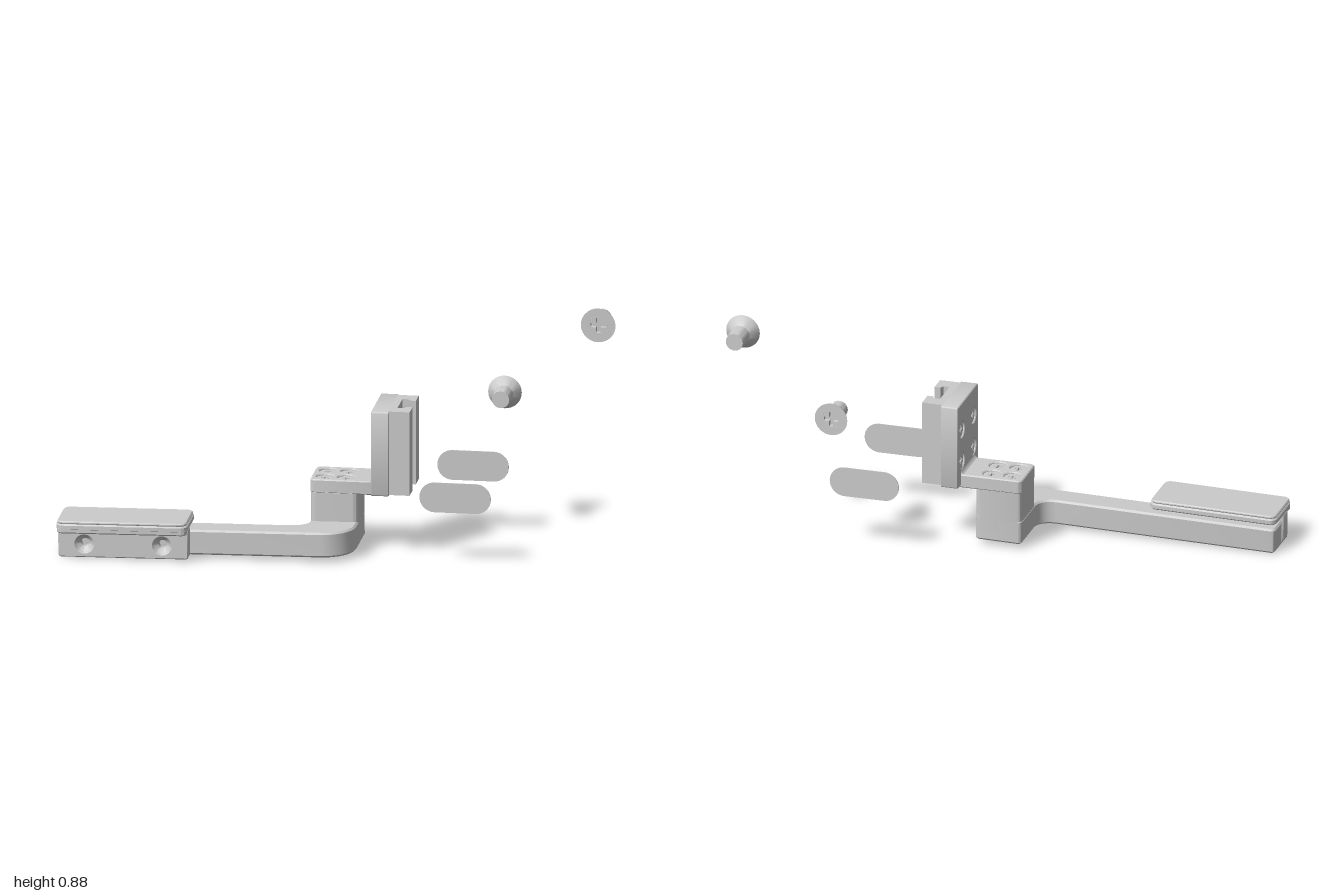
import * as THREE from 'three';
import { toCreasedNormals } from 'three/addons/utils/BufferGeometryUtils.js';

const grey = new THREE.MeshStandardMaterial({ color: 0xcccccc, side: THREE.DoubleSide });

function add(parent, name, geometry, crease = 0.5) {
  const mesh = new THREE.Mesh(toCreasedNormals(geometry, crease), grey);
  mesh.name = name;
  parent.add(mesh);
  return mesh;
}

// Rectangle with rounded corners
function roundRect(x0, y0, x1, y1, r) {
  const s = new THREE.Shape();
  s.absarc(x1 - r, y0 + r, r, -Math.PI / 2, 0);
  s.absarc(x1 - r, y1 - r, r, 0, Math.PI / 2);
  s.absarc(x0 + r, y1 - r, r, Math.PI / 2, Math.PI);
  s.absarc(x0 + r, y0 + r, r, Math.PI, Math.PI * 1.5);
  s.closePath();
  return s;
}

function polygon(points) {
  return new THREE.Shape(points.map(([x, y]) => new THREE.Vector2(x, y)));
}

function hole(shape, x, y, r) {
  shape.holes.push(new THREE.Path().absarc(x, y, r, 0, Math.PI * 2, true));
}

// Chamfered slab between two heights along an axis.
// Shape coordinates: y axis -> (x, -z), x axis -> (-z, y), z axis -> (x, y)
function slab(shape, from, to, bevel = 0, axis = 'y') {
  const g = new THREE.ExtrudeGeometry(shape, {
    depth: to - from - 2 * bevel, curveSegments: 10, bevelEnabled: bevel > 0,
    bevelSize: bevel, bevelThickness: bevel, bevelOffset: -bevel, bevelSegments: 1,
  });
  g.translate(0, 0, from + bevel);
  if (axis === 'y') g.rotateX(-Math.PI / 2);
  if (axis === 'x') g.rotateY(Math.PI / 2);
  return g;
}

// Countersunk cross-head screw, head face at y = 0 looking up
function makeScrew(name, scale = 1) {
  const screw = new THREE.Group();
  screw.name = name;
  const profile = [[0, -0.11], [0.033, -0.11], [0.037, -0.037], [0.062, -0.008], [0.065, 0], [0.036, 0]];
  add(screw, 'screwBody', new THREE.LatheGeometry(profile.map(p => new THREE.Vector2(...p)), 28));
  const ring = new THREE.Shape().absarc(0, 0, 0.036, 0, Math.PI * 2);
  const a = 0.008, b = 0.029;
  ring.holes.push(new THREE.Path([
    [a, a], [a, b], [-a, b], [-a, a], [-b, a], [-b, -a],
    [-a, -a], [-a, -b], [a, -b], [a, -a], [b, -a], [b, a],
  ].map(p => new THREE.Vector2(...p))));
  add(screw, 'crossRecess', slab(ring, -0.02, 0));
  add(screw, 'recessFloor', new THREE.CircleGeometry(0.034, 20).rotateX(-Math.PI / 2).translate(0, -0.02, 0));
  screw.scale.setScalar(scale);
  return screw;
}

export function createModel() {
  const model = new THREE.Group();
  model.name = 'bracketAssembly';

  // Slightly sloping arm with its clamp and top plate
  const armGroup = new THREE.Group();
  armGroup.name = 'armAssembly';
  armGroup.rotation.z = 0.018;
  armGroup.position.y = 0.018;
  model.add(armGroup);

  const arm = new THREE.Shape();
  arm.moveTo(-0.98, -0.25);
  arm.lineTo(-0.03, -0.25);
  arm.bezierCurveTo(0.036, -0.25, 0.09, -0.196, 0.09, -0.13);
  arm.lineTo(0.09, 0.067);
  arm.quadraticCurveTo(0.09, 0.087, 0.07, 0.087);
  arm.lineTo(-0.07, 0.087);
  arm.quadraticCurveTo(-0.09, 0.087, -0.09, 0.067);
  arm.lineTo(-0.09, -0.075);
  arm.quadraticCurveTo(-0.09, -0.145, -0.16, -0.145);
  arm.lineTo(-0.98, -0.145);
  arm.quadraticCurveTo(-0.998, -0.145, -0.998, -0.165);
  arm.lineTo(-0.998, -0.23);
  arm.quadraticCurveTo(-0.998, -0.25, -0.98, -0.25);
  add(armGroup, 'arm', slab(arm, 0.004, 0.099, 0.007));

  // Front clamp plate with conical screw seats
  const clamp = roundRect(-0.998, 0.002, -0.512, 0.118, 0.012);
  const seats = [-0.9, -0.61];
  seats.forEach(x => hole(clamp, x, 0.053, 0.033));
  add(armGroup, 'clampPlate', slab(clamp, 0.258, 0.312, 0.004, 'z'));
  for (const x of seats) {
    const cone = [[0.016, 0], [0.016, 0.025], [0.035, 0.045]].map(p => new THREE.Vector2(...p));
    add(armGroup, 'screwSeat', new THREE.LatheGeometry(cone, 24).rotateX(Math.PI / 2).translate(x, 0.053, 0.26));
  }

  // Layered top plate with a lip hanging over the front
  add(armGroup, 'topPlate', slab(roundRect(-1, -0.356, -0.51, -0.146, 0.028), 0.115, 0.139, 0.005));
  add(armGroup, 'topPad', slab(roundRect(-0.997, -0.352, -0.513, -0.15, 0.026), 0.138, 0.15, 0.004));
  add(armGroup, 'plateLip', slab(roundRect(-0.997, -0.355, -0.513, -0.308, 0.02), 0.103, 0.125, 0.005));

  // Column rising from the end of the arm
  add(model, 'column', slab(roundRect(-0.09, -0.09, 0.088, 0.087, 0.02), 0.06, 0.226));

  // Bracket foot with four countersunk screws
  const foot = roundRect(-0.092, -0.088, 0.2, 0.09, 0.018);
  const footScrews = [];
  for (const x of [-0.043, 0.037]) for (const z of [-0.042, 0.038]) footScrews.push([x, z]);
  footScrews.forEach(([x, z]) => hole(foot, x, -z, 0.032));
  add(model, 'bracketFoot', slab(foot, 0.224, 0.276, 0.004));
  for (const [x, z] of footScrews) {
    const s = makeScrew('footScrew', 0.48);
    s.position.set(x, 0.27, z);
    model.add(s);
  }

  // Fillet between foot and upright
  const fillet = new THREE.Shape();
  fillet.moveTo(0.118, 0.27);
  fillet.quadraticCurveTo(0.143, 0.276, 0.146, 0.3);
  fillet.lineTo(0.15, 0.27);
  add(model, 'footFillet', slab(fillet, -0.085, 0.085, 0, 'z'));

  // Upright flange with four countersunk screws
  const flange = roundRect(-0.127, 0.232, 0.127, 0.556, 0.006);
  const flangeScrews = [];
  for (const z of [-0.072, 0.072]) for (const y of [0.325, 0.45]) flangeScrews.push([z, y]);
  flangeScrews.forEach(([z, y]) => hole(flange, -z, y, 0.032));
  add(model, 'uprightFlange', slab(flange, 0.142, 0.209, 0.003, 'x'));
  for (const [z, y] of flangeScrews) {
    const s = makeScrew('flangeScrew', 0.48);
    s.rotation.z = Math.PI / 2;
    s.position.set(0.148, y, z);
    model.add(s);
  }

  // Slotted rail on the side of the flange
  const half = [[0.205, 0.113], [0.285, 0.113], [0.285, 0.043], [0.262, 0.043], [0.256, 0.06], [0.232, 0.06]];
  const rail = polygon([...half, ...half.map(([x, z]) => [x, -z]).reverse()]);
  add(model, 'slottedRail', slab(rail, 0.235, 0.556));

  // Loose thin oval pads
  for (const z of [0.197, -0.241]) {
    add(model, 'ovalPad', slab(roundRect(0.335, 0.201, 0.602, 0.315, 0.0565), z - 0.0015, z + 0.0015, 0, 'z'));
  }

  // Loose screws, one facing forward and one facing back
  const frontScrew = makeScrew('looseScrewFront');
  frontScrew.rotation.x = Math.PI / 2;
  frontScrew.position.set(0.935, 0.816, -0.25);
  const backScrew = makeScrew('looseScrewBack', 0.97);
  backScrew.rotation.x = -Math.PI / 2;
  backScrew.position.set(0.578, 0.529, -0.304);
  model.add(frontScrew, backScrew);

  return model;
}
